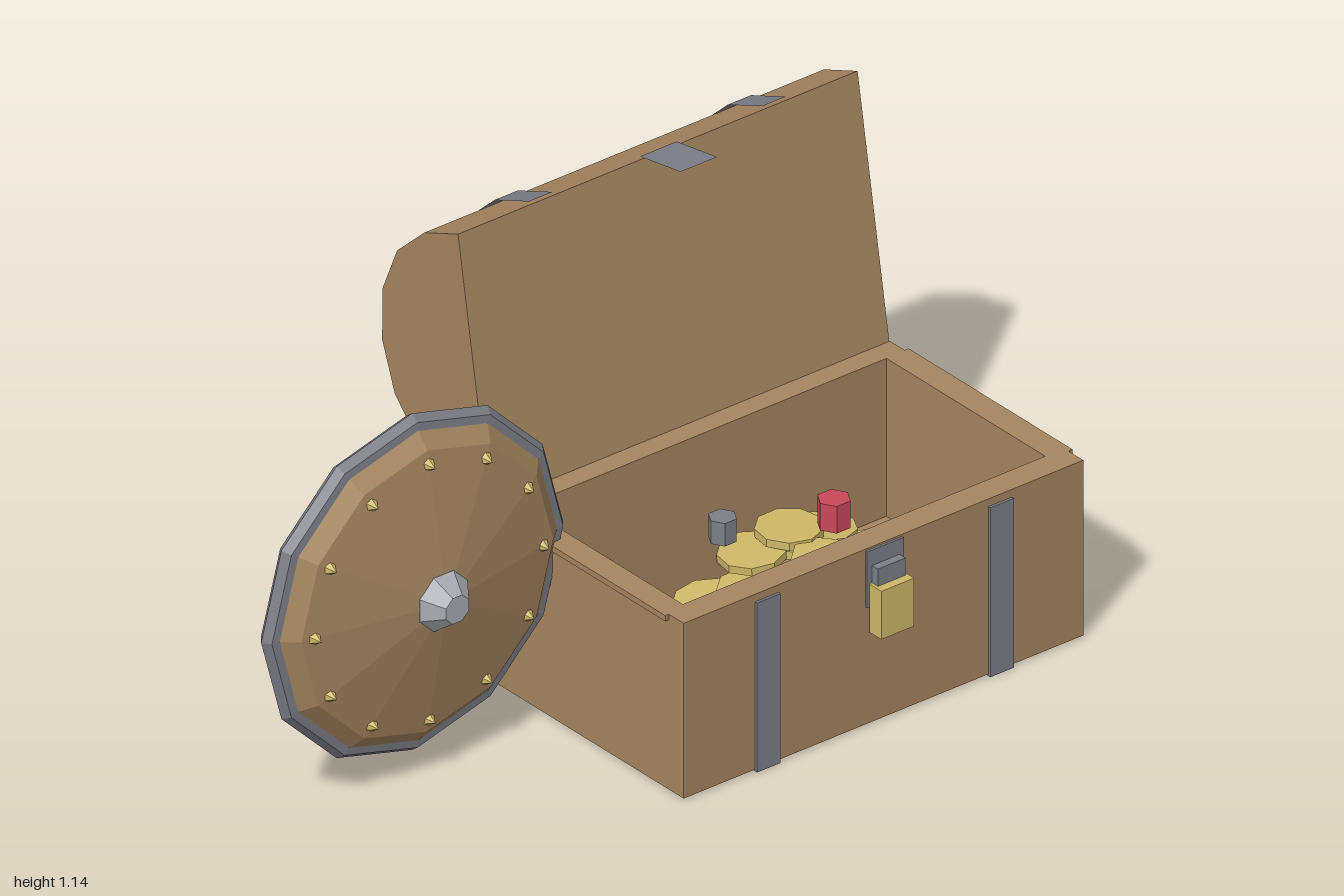
import * as THREE from 'three';

const wood = new THREE.MeshStandardMaterial({ color: 0xa58660, name: 'wood' });
const metal = new THREE.MeshStandardMaterial({ color: 0x7d7e87, name: 'iron', side: THREE.DoubleSide });
const steel = new THREE.MeshStandardMaterial({ color: 0xa9abb2, name: 'pale steel' });
const gold = new THREE.MeshStandardMaterial({ color: 0xcdb868, name: 'gold' });
const red = new THREE.MeshStandardMaterial({ color: 0xc9485c, name: 'ruby' });

export function createModel() {
  const model = new THREE.Group();

  // Adds a faceted mesh
  function add(parent, name, geometry, material, x = 0, y = 0, z = 0) {
    const g = geometry.index ? geometry.toNonIndexed() : geometry;
    g.computeVertexNormals();
    const mesh = new THREE.Mesh(g, material);
    mesh.name = name;
    mesh.position.set(x, y, z);
    parent.add(mesh);
    return mesh;
  }
  // Box from its limits
  function box(parent, name, material, [x0, x1], [y0, y1], [z0, z1]) {
    return add(parent, name, new THREE.BoxGeometry(x1 - x0, y1 - y0, z1 - z0), material,
      (x0 + x1) / 2, (y0 + y1) / 2, (z0 + z1) / 2);
  }
  // Solid with a [z, y] profile running from x0 to x1
  function profileAlongX(points, x0, x1) {
    const shape = new THREE.Shape(points.map(([z, y]) => new THREE.Vector2(-z, y)));
    return new THREE.ExtrudeGeometry(shape, { depth: x1 - x0, bevelEnabled: false })
      .rotateY(Math.PI / 2).translate(x0, 0, 0);
  }
  // Thin open sheet following a [z, y] path
  function ribbon(points, x0, x1) {
    const v = [];
    for (let i = 0; i < points.length - 1; i++) {
      const [za, ya] = points[i], [zb, yb] = points[i + 1];
      v.push(x0, ya, za, x1, yb, zb, x1, ya, za, x0, ya, za, x0, yb, zb, x1, yb, zb);
    }
    const g = new THREE.BufferGeometry();
    g.setAttribute('position', new THREE.Float32BufferAttribute(v, 3));
    return g;
  }
  const lathe = (points, sides) =>
    new THREE.LatheGeometry(points.map(p => new THREE.Vector2(...p)), sides).rotateX(Math.PI / 2);

  // Chest body
  const chest = new THREE.Group();
  chest.name = 'chest';
  model.add(chest);
  const X = [-0.173, 0.985];
  box(chest, 'chestFloor', wood, X, [0.005, 0.05], [-0.17, 0.518]);
  box(chest, 'frontWall', wood, X, [0.05, 0.46], [0.45, 0.518]);
  box(chest, 'backWall', wood, X, [0.05, 0.46], [-0.17, -0.115]);
  box(chest, 'rightWall', wood, [X[0], -0.12], [0.05, 0.46], [-0.115, 0.45]);
  box(chest, 'leftWall', wood, [0.93, X[1]], [0.05, 0.46], [-0.115, 0.45]);
  box(chest, 'rightRim', wood, [-0.183, X[0]], [0.445, 0.46], [-0.118, 0.465]);
  box(chest, 'leftRim', wood, [X[1], 0.997], [0.445, 0.46], [-0.118, 0.465]);

  // Open lid
  const lidArc = [[-0.17, 0.445], [-0.3, 0.447], [-0.42, 0.5], [-0.51, 0.595], [-0.555, 0.715],
    [-0.553, 0.85], [-0.502, 0.97], [-0.405, 1.06], [-0.285, 1.11]];
  add(chest, 'lid', profileAlongX(lidArc, ...X), wood);

  // Iron straps around body and lid
  const strap = [[0.525, 0.44], [0.525, 0], [-0.176, 0], [-0.176, 0.44], [-0.168, 0.44],
    [-0.168, 0.008], [0.516, 0.008], [0.516, 0.44]];
  const lidStrap = lidArc.map(([z, y]) => [-0.227 + (z + 0.227) * 1.025, 0.778 + (y - 0.778) * 1.025]);
  for (const x of [0.068, 0.744]) {
    add(chest, 'bodyStrap', profileAlongX(strap, x - 0.034, x + 0.034), metal);
    add(chest, 'lidStrap', ribbon(lidStrap, x - 0.034, x + 0.034), metal);
  }

  // Latch and padlock
  add(chest, 'latchFlap', ribbon([[-0.285, 1.119], [-0.14, 1.144]], 0.354, 0.46), metal);
  box(chest, 'latchPlate', metal, [0.354, 0.46], [0.31, 0.455], [0.515, 0.524]);
  box(chest, 'latchLoop', metal, [0.368, 0.448], [0.365, 0.415], [0.52, 0.545]);
  box(chest, 'padlock', gold, [0.36, 0.455], [0.245, 0.37], [0.524, 0.567]);

  // Treasure: coins as [x, y, z, tiltX, tiltZ]
  const treasure = new THREE.Group();
  treasure.name = 'treasure';
  model.add(treasure);
  const coins = [
    [0.21, 0.2, 0.13, 0, 0.15], [0.2, 0.19, 0.23, 0.1, 0.12], [0.28, 0.23, 0.2, 0.05, 0.1],
    [0.38, 0.24, 0.08, -0.1, 0], [0.53, 0.22, 0.08, -0.12, -0.05], [0.6, 0.21, 0.19, 0, -0.15],
    [0.53, 0.23, 0.28, 0.1, -0.1], [0.37, 0.22, 0.29, 0.15, 0.05], [0.48, 0.25, 0.28, 0.1, 0],
    [0.34, 0.28, 0.13, 0, 0.08], [0.53, 0.28, 0.15, 0, -0.08], [0.43, 0.29, 0.28, 0.2, 0],
    [0.44, 0.31, 0.14, 0, 0],
  ];
  coins.forEach(([x, y, z, rx, rz], i) => {
    const coin = add(treasure, 'coin', new THREE.CylinderGeometry(0.08, 0.08, 0.02, 9), gold, x, y, z);
    coin.rotation.set(rx, i * 0.7, rz);
  });
  const gem = () => new THREE.CylinderGeometry(0.04, 0.04, 0.07, 6).rotateY(Math.PI / 6);
  add(treasure, 'redGem', gem(), red, 0.515, 0.36, 0.208);
  add(treasure, 'greyGem', gem().scale(0.85, 0.85, 0.85), metal, 0.28, 0.355, 0.1);

  // Round shield standing beside the chest
  const shield = new THREE.Group();
  shield.name = 'shield';
  shield.position.set(-0.563, 0.492, 0);
  model.add(shield);
  add(shield, 'shieldBoard', lathe([[0, 0.014], [0.405, 0.014], [0.405, 0.05], [0.365, 0.085],
    [0.07, 0.143], [0, 0.143]], 12), wood);
  add(shield, 'shieldRim', lathe([[0.4, 0.01], [0.422, 0.01], [0.437, 0.03], [0.422, 0.05],
    [0.4, 0.053], [0.4, 0.01]], 12), metal);
  add(shield, 'shieldBoss', lathe([[0.075, 0.135], [0.075, 0.143], [0.036, 0.192], [0, 0.192]], 8)
    .rotateZ(Math.PI / 8), steel);
  for (let i = 0; i < 12; i++) {
    const a = i * Math.PI / 6;
    add(shield, 'stud', new THREE.ConeGeometry(0.017, 0.026, 6).rotateX(Math.PI / 2), gold,
      0.33 * Math.sin(a), 0.33 * Math.cos(a), 0.101);
  }
  // Handle on the back of the shield
  box(shield, 'handleGrip', wood, [-0.132, 0.132], [-0.018, 0.018], [-0.038, -0.004]);
  for (const x of [-0.1, 0.1])
    box(shield, 'handlePost', wood, [x - 0.015, x + 0.015], [-0.015, 0.015], [-0.006, 0.016]);

  return model;
}
